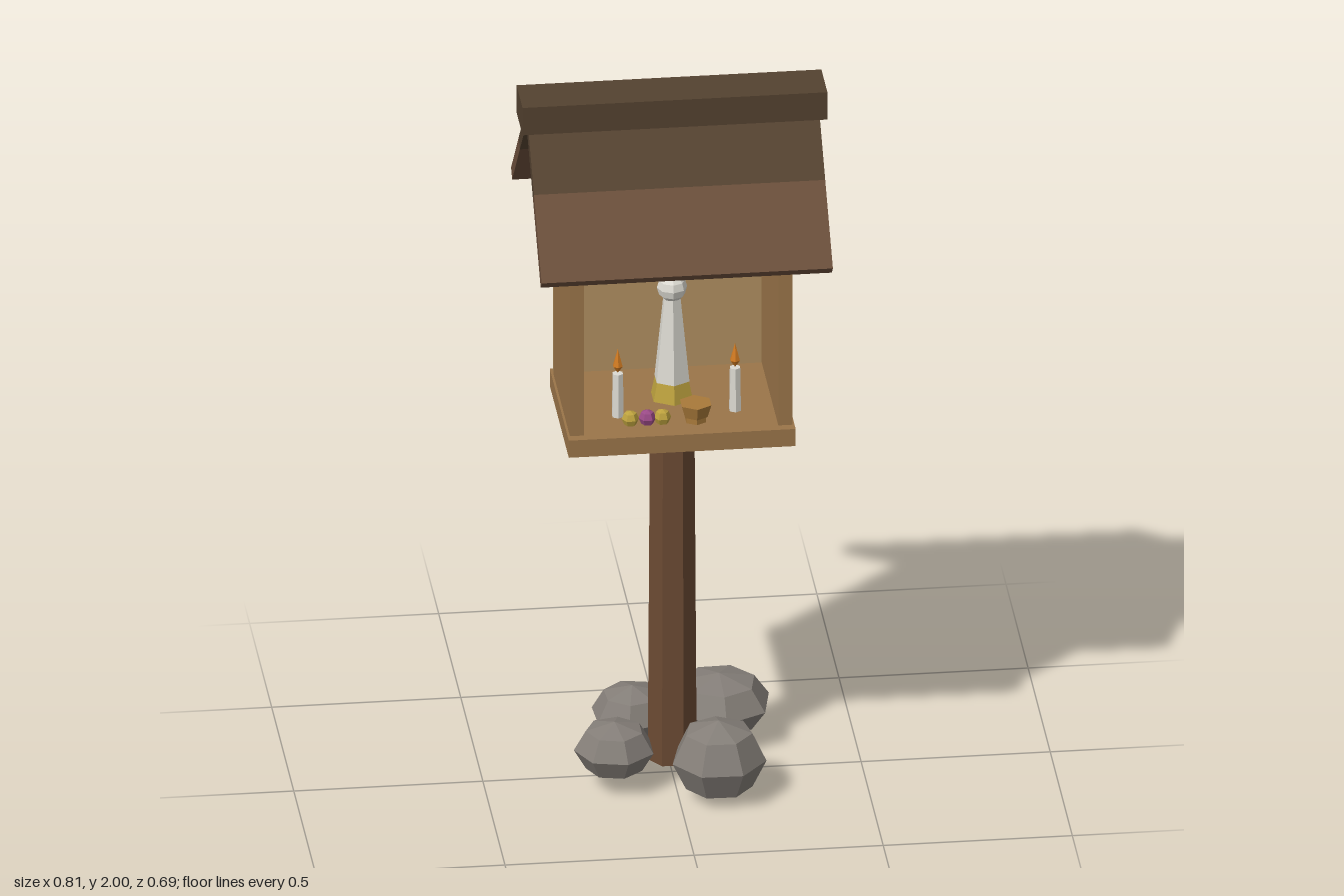
import * as THREE from 'three';

const COLORS = {
  post: 0x6b4a33, wood: 0x9a7549, paleWood: 0xb08f60, roof: 0x6b4f3b, ridge: 0x544230,
  stone: 0x847e78, white: 0xdcdad2, gold: 0xbda23e, flame: 0xd07a22, purple: 0x9a4a86, dish: 0xa8793a,
};
const materials = {};
for (const [key, color] of Object.entries(COLORS)) {
  materials[key] = new THREE.MeshStandardMaterial({ color, flatShading: true });
}

export function createModel() {
  const model = new THREE.Group();

  function add(name, geometry, material, x, y, z, parent = model) {
    const mesh = new THREE.Mesh(geometry, materials[material]);
    mesh.name = name;
    mesh.position.set(x, y, z);
    parent.add(mesh);
    return mesh;
  }
  const box = (w, h, d) => new THREE.BoxGeometry(w, h, d);
  const cyl = (top, bottom, h, n) => new THREE.CylinderGeometry(top, bottom, h, n);

  // Seven-sided post, slightly tapered
  add('post', cyl(0.06, 0.066, 1.005, 7), 'post', 0, 0.5475, 0).rotation.y = -Math.PI / 6;

  // Stones around the foot: x, y, z, radius, half height, turn
  const stones = [
    [0.105, 0.11, 0.155, 0.127, 0.11, 0.2],
    [-0.16, 0.112, 0.07, 0.108, 0.077, 0.9],
    [0.145, 0.112, -0.175, 0.14, 0.083, 1.6],
    [-0.09, 0.112, -0.135, 0.11, 0.08, 2.3],
  ];
  for (const [x, y, z, r, h, turn] of stones) {
    const stone = add('stone', new THREE.SphereGeometry(1, 7, 4), 'stone', x, y, z);
    stone.scale.set(r, h, r);
    stone.rotation.y = turn;
  }

  // Open-fronted house
  add('floor', box(0.6, 0.05, 0.43), 'wood', 0, 1.075, 0.017);
  add('backWall', box(0.585, 0.58, 0.022), 'paleWood', 0, 1.39, -0.181);
  const gableShape = new THREE.Shape([
    new THREE.Vector2(-0.24, 1.68), new THREE.Vector2(0.24, 1.68), new THREE.Vector2(0, 1.92),
  ]);
  for (const side of [-1, 1]) {
    add('sideWall', box(0.037, 0.58, 0.376), 'wood', side * 0.2755, 1.39, 0.018);
    const gable = new THREE.ExtrudeGeometry(gableShape, { depth: 0.036, bevelEnabled: false });
    gable.translate(0, 0, -0.018).rotateY(Math.PI / 2);
    add('gable', gable, 'paleWood', side * 0.276, 0, 0);
  }

  // Two roof slopes, each with a dark upper band; local z runs down the slope
  const slopeLength = 0.456, bandLength = 0.21;
  for (const turn of [0, Math.PI]) {
    const slope = new THREE.Group();
    slope.name = 'roofSlope';
    slope.rotation.set(Math.PI / 4, turn, 0, 'YXZ');
    slope.position.y = 1.92;
    add('upperBoards', box(0.77, 0.034, bandLength), 'ridge', 0, 0.017, bandLength / 2, slope);
    add('lowerBoards', box(0.77, 0.034, slopeLength - bandLength), 'roof',
      0, 0.017, (slopeLength + bandLength) / 2, slope);
    model.add(slope);
  }
  add('ridgeBeam', box(0.806, 0.08, 0.136), 'ridge', 0, 1.96, 0);

  // Statuette on a gold foot
  const statue = new THREE.Group();
  statue.name = 'statuette';
  statue.position.y = 1.1;
  model.add(statue);
  add('statueFoot', cyl(0.048, 0.06, 0.055, 6), 'gold', 0, 0.0275, 0, statue);
  add('statueBody', cyl(0.024, 0.05, 0.245, 6), 'white', 0, 0.175, 0, statue);
  add('statueHead', new THREE.SphereGeometry(0.04, 8, 6), 'white', 0, 0.32, 0, statue);

  // Candles with flames
  for (const side of [-1, 1]) {
    add('candle', cyl(0.015, 0.017, 0.125, 6), 'white', side * 0.155, 1.1625, 0.1);
    const flame = new THREE.LatheGeometry([
      new THREE.Vector2(0, 0), new THREE.Vector2(0.014, 0.02), new THREE.Vector2(0, 0.07),
    ], 6);
    add('flame', flame, 'flame', side * 0.155, 1.226, 0.1);
  }

  // Small offerings
  [[-0.13, 'gold'], [-0.085, 'purple'], [-0.045, 'gold']].forEach(([x, color]) => {
    add('offeringBead', new THREE.SphereGeometry(0.023, 6, 4), color, x, 1.124, 0.168);
  });
  add('offeringDish', cyl(0.045, 0.034, 0.036, 6), 'dish', 0.045, 1.134, 0.15);
  add('offeringDishFoot', cyl(0.03, 0.03, 0.018, 6), 'dish', 0.045, 1.109, 0.15);

  return model;
}
